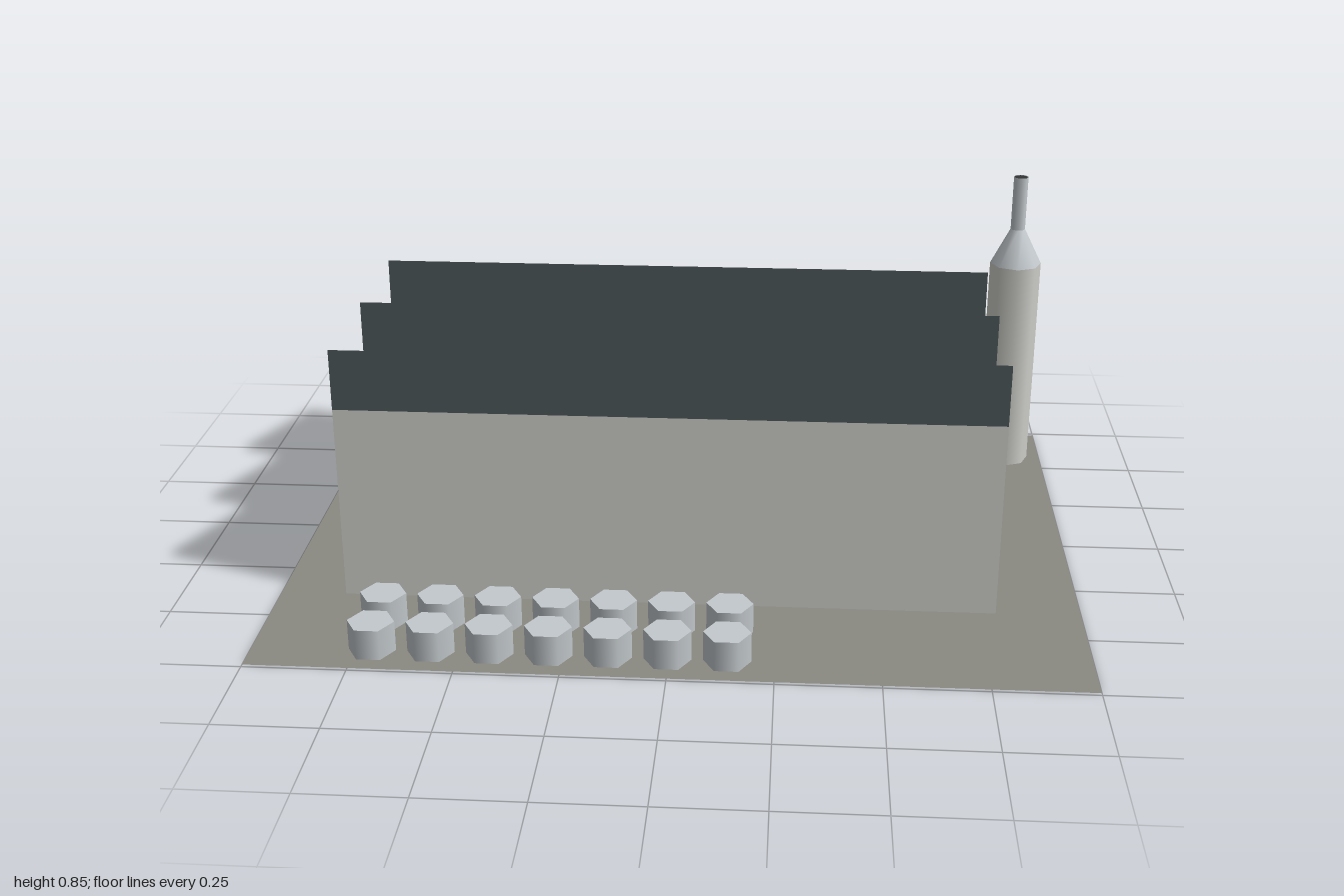
import * as THREE from 'three';

const material = (color) => new THREE.MeshStandardMaterial({ color, side: THREE.DoubleSide });

export function createModel() {
  const model = new THREE.Group();
  const wallMat = material(0xcfcfca);
  const roofMat = material(0x89919a);
  const glassMat = material(0x4c585b);
  const metalMat = material(0xc3c9cd);
  const groundMat = material(0x8a8a82);
  const darkMat = material(0x333333);

  const add = (name, geometry, mat, parent = model) => {
    const mesh = new THREE.Mesh(geometry, mat);
    mesh.name = name;
    parent.add(mesh);
    return mesh;
  };

  // Ground sheet
  add('ground', new THREE.PlaneGeometry(2, 1.48).rotateX(-Math.PI / 2), groundMat);

  // Factory hall with a saw-tooth roof
  const hall = new THREE.Group();
  hall.name = 'factoryHall';
  model.add(hall);
  const x0 = -0.835, x1 = 0.79, front = 0.385, base = 0.003;
  const valley = 0.505, peak = 0.66, teeth = 3, pitch = 1.03 / teeth;
  const back = front - teeth * pitch;

  // Flat strip across the hall between two (y, z) points
  const strip = (name, ya, za, yb, zb, mat) => {
    const g = new THREE.BufferGeometry();
    g.setAttribute('position', new THREE.Float32BufferAttribute(
      [x0, ya, za, x1, ya, za, x1, yb, zb, x0, yb, zb], 3));
    g.setIndex([0, 1, 2, 0, 2, 3]);
    g.computeVertexNormals();
    add(name, g, mat, hall);
  };

  strip('frontWall', base, front, valley, front, wallMat);
  const outline = new THREE.Shape();
  outline.moveTo(-front, base);
  for (let i = 0; i < teeth; i++) {
    const z = front - i * pitch;
    strip('skylight', valley, z, peak, z, glassMat);
    strip('roofSlope', peak, z, valley, z - pitch, roofMat);
    outline.lineTo(-z, peak);
    outline.lineTo(-(z - pitch), valley);
  }
  strip('backWall', valley, back, base, back, wallMat);
  outline.lineTo(-back, base);

  // Saw-tooth end walls
  for (const [name, x] of [['leftEndWall', x1], ['rightEndWall', x0]]) {
    const end = add(name, new THREE.ShapeGeometry(outline), wallMat, hall);
    end.rotation.y = Math.PI / 2;
    end.position.x = x;
  }

  // Chimney: body, tapering shoulder, narrow pipe
  const chimney = new THREE.Group();
  chimney.name = 'chimney';
  chimney.position.set(0.894, 0, -0.577);
  model.add(chimney);
  const section = (name, top, bottom, ya, yb, mat) => {
    const g = new THREE.CylinderGeometry(top, bottom, yb - ya, 8, 1, true);
    add(name, g.translate(0, (ya + yb) / 2, 0), mat, chimney);
  };
  section('chimneyBody', 0.071, 0.071, base, 0.6, wallMat);
  section('chimneyShoulder', 0.02, 0.071, 0.6, 0.7, metalMat);
  section('chimneyPipe', 0.02, 0.02, 0.7, 0.85, metalMat);
  add('chimneyMouth', new THREE.CircleGeometry(0.02, 8).rotateX(-Math.PI / 2)
    .translate(0, 0.849, 0), darkMat, chimney);

  // Two rows of hexagonal drums in the yard
  const drums = new THREE.Group();
  drums.name = 'drums';
  model.add(drums);
  const drumGeo = new THREE.CylinderGeometry(0.057, 0.057, 0.077, 6).rotateY(Math.PI / 6);
  for (const z of [0.515, 0.655]) {
    for (let i = 0; i < 7; i++) {
      add('drum', drumGeo, metalMat, drums).position.set(-0.708 + i * 0.141, 0.0415, z);
    }
  }
  return model;
}
